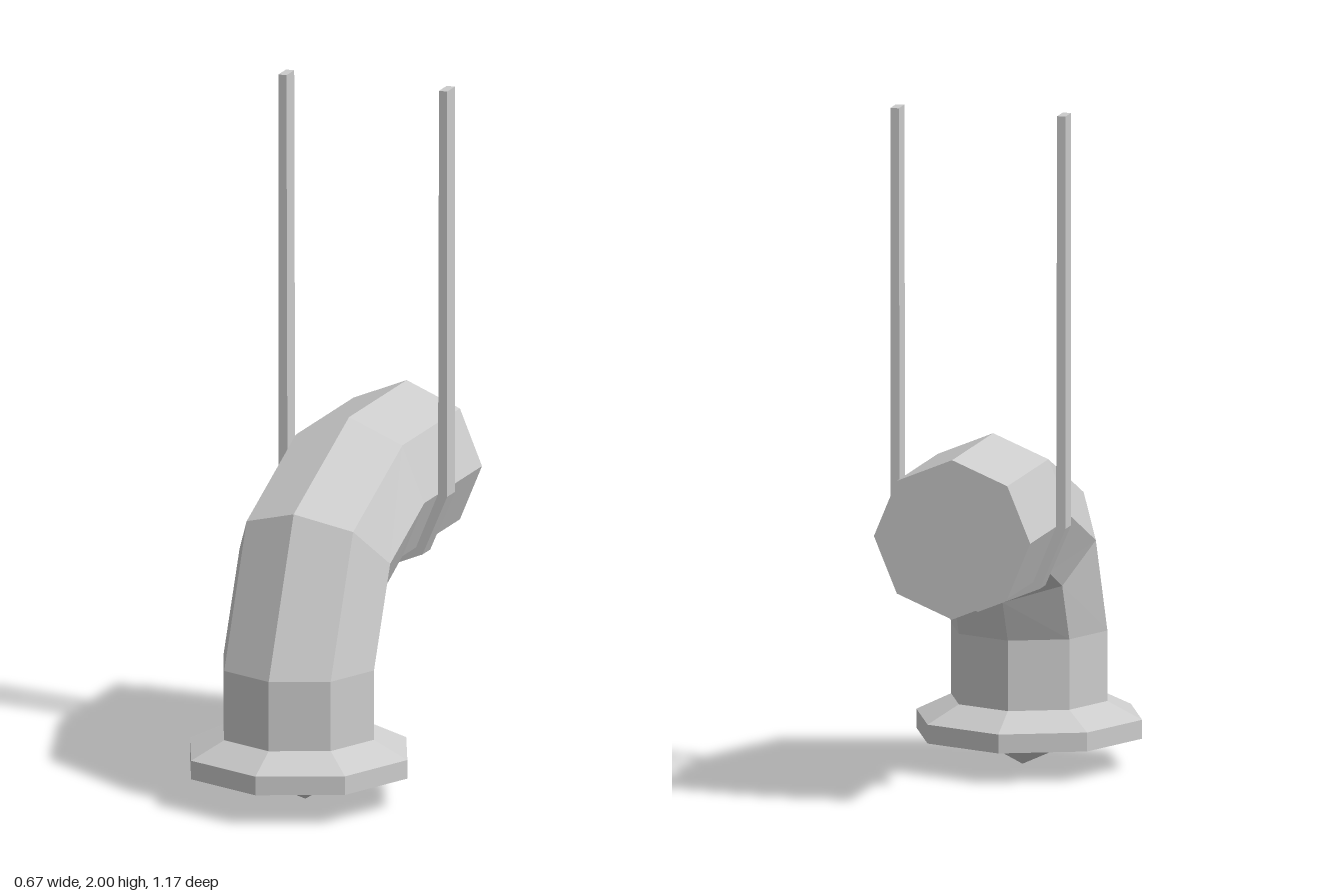
import * as THREE from 'three';

const SIDES = 8;
const R = 0.232;

function material() {
  return new THREE.MeshStandardMaterial({ color: 0xcccccc, flatShading: true });
}

function add(group, name, geometry) {
  const mesh = new THREE.Mesh(geometry, material());
  mesh.name = name;
  group.add(mesh);
  return mesh;
}

// Octagonal tube lofted through rings [y, z, tilt], closed at its far end
function pipeGeometry(rings) {
  const pos = [], index = [];
  for (const [y, z, tilt] of rings) {
    for (let j = 0; j < SIDES; j++) {
      const t = (j / SIDES) * Math.PI * 2;
      const out = R * Math.cos(t);
      pos.push(R * Math.sin(t), y + out * Math.sin(tilt), z + out * Math.cos(tilt));
    }
  }
  for (let i = 0; i < rings.length - 1; i++) {
    for (let j = 0; j < SIDES; j++) {
      const a = i * SIDES + j, b = i * SIDES + ((j + 1) % SIDES);
      index.push(a, b, a + SIDES, b, b + SIDES, a + SIDES);
    }
  }
  const last = (rings.length - 1) * SIDES;
  for (let j = 1; j < SIDES - 1; j++) index.push(last, last + j, last + j + 1);
  const geo = new THREE.BufferGeometry();
  geo.setAttribute('position', new THREE.Float32BufferAttribute(pos, 3));
  geo.setIndex(index);
  geo.computeVertexNormals();
  return geo;
}

// Flat-sided hanger that runs down, under the pipe and up again
function strapGeometry() {
  const outer = [[0.26, 2], [0.26, 0.8], [0.184, 0.622], [0, 0.546]];
  const inner = [[0, 0.574], [0.164, 0.641], [0.232, 0.805], [0.235, 2]];
  const mirror = (pts) => pts.slice().reverse().map(([x, y]) => [-x, y]);
  const outline = [
    ...outer, ...mirror(outer).slice(1),
    ...mirror(inner), ...inner.slice(1),
  ];
  const shape = new THREE.Shape(outline.map(([x, y]) => new THREE.Vector2(x, y)));
  const geo = new THREE.ExtrudeGeometry(shape, { depth: 0.06, bevelEnabled: false });
  return geo.translate(0, 0, -0.305);
}

// Spout tip, recessed underside and collar as one turned profile
function nozzleGeometry() {
  const profile = [
    [0, 0.005], [0.165, 0.09], [0.11, 0.16], [0.2, 0.165],
    [0.282, 0.095], [0.335, 0.095], [0.335, 0.15], [0.232, 0.2],
  ].map(([r, y]) => new THREE.Vector2(r, y));
  const geo = new THREE.LatheGeometry(profile, SIDES);
  // The tip sits slightly off centre
  const p = geo.attributes.position;
  for (let i = 0; i < p.count; i++) if (p.getY(i) < 0.02) p.setX(i, 0.02);
  return geo.translate(0, 0, 0.25);
}

export function createModel() {
  const model = new THREE.Group();
  model.name = 'hangingPipe';

  add(model, 'bentPipe', pipeGeometry([
    [0.195, 0.25, 0],
    [0.405, 0.25, 0],
    [0.69, 0.125, Math.PI / 4],
    [0.805, -0.14, Math.PI / 2],
    [0.805, -0.585, Math.PI / 2],
  ]));
  add(model, 'nozzle', nozzleGeometry());
  add(model, 'hangerStrap', strapGeometry());

  return model;
}
